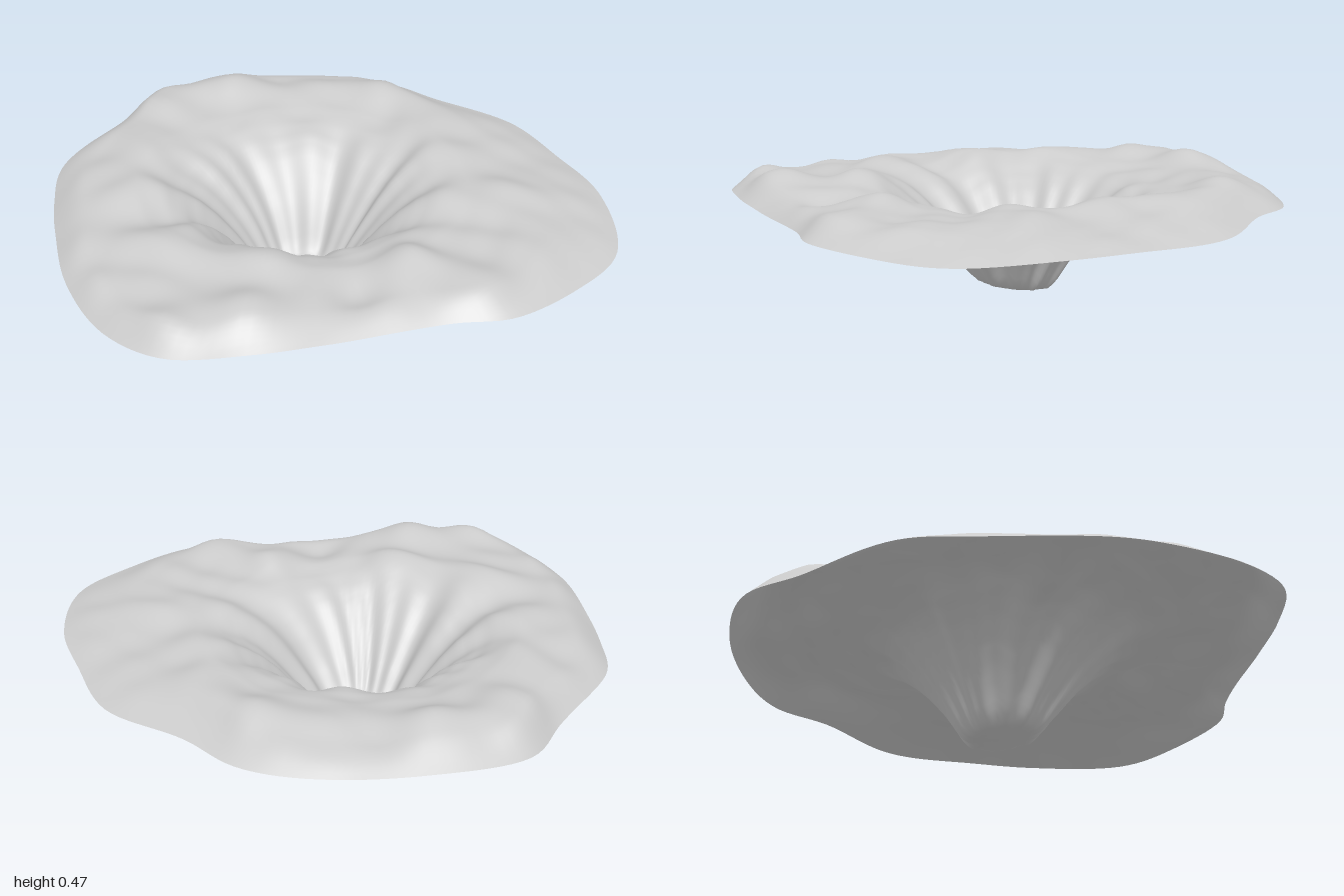
import * as THREE from 'three';

const PIT = new THREE.Vector2(-0.07, 0.01);
const SEGMENTS = 160, RINGS = 56;

// Irregular outer edge, as x, z
const OUTLINE = [
  [0.97, 0], [1, 0.3], [0.9, 0.68], [0.68, 0.86], [0.4, 0.98], [0.2, 0.95], [0, 0.94], [-0.25, 0.95],
  [-0.48, 0.95], [-0.75, 0.89], [-0.91, 0.7], [-0.99, 0.38], [-0.98, 0.05], [-0.95, -0.2], [-0.88, -0.45],
  [-0.6, -0.76], [-0.43, -0.95], [-0.05, -1], [0.28, -0.93], [0.53, -0.8], [0.67, -0.6], [0.9, -0.33],
];

// Funnel cross-section, as radius, height
const PROFILE = [
  [0, 0.012], [0.1, 0.015], [0.135, 0.025], [0.165, 0.06], [0.2, 0.115], [0.25, 0.185], [0.31, 0.26],
  [0.37, 0.32], [0.43, 0.362], [0.5, 0.39], [0.6, 0.408], [0.75, 0.408], [1.2, 0.4],
];

// Mounds and hollows on the ground, as x, z, width, height
const MOUNDS = [
  [-0.15, -0.8, 0.13, 0.065], [-0.42, -0.75, 0.15, 0.05], [-0.55, -0.45, 0.15, 0.04], [0.15, -0.68, 0.13, 0.03],
  [0.42, -0.6, 0.14, 0.045], [0.58, -0.4, 0.14, 0.04], [0.5, -0.1, 0.16, 0.035], [0.42, 0.22, 0.13, 0.03],
  [0.63, 0.32, 0.14, 0.035], [0.6, 0.65, 0.14, 0.025], [0.15, 0.62, 0.1, 0.045], [-0.08, 0.76, 0.09, -0.035],
  [-0.33, 0.5, 0.13, 0.06], [-0.45, 0.78, 0.12, 0.05], [-0.72, 0.75, 0.12, 0.03], [-0.6, 0.3, 0.17, 0.045],
  [-0.6, 0.12, 0.09, -0.03], [-0.68, -0.12, 0.17, 0.04], [0.3, 0.8, 0.12, 0.03], [0.8, 0, 0.14, -0.015],
];

const smooth = THREE.MathUtils.smoothstep;

function funnelHeight(r) {
  let i = 1;
  while (i < PROFILE.length - 1 && r > PROFILE[i][0]) i++;
  const [r0, h0] = PROFILE[i - 1], [r1, h1] = PROFILE[i];
  return THREE.MathUtils.lerp(h0, h1, Math.min(1, (r - r0) / (r1 - r0)));
}

// Soft layered ripples for the eroded ground
function ripples(x, z) {
  return 0.009 * Math.sin(11 * x + 3 * Math.sin(5 * z + 1)) * Math.cos(12 * z + 2 * Math.sin(6 * x))
    + 0.004 * Math.sin(23 * z + 2 * Math.sin(9 * x + 2)) * Math.cos(19 * x + 1.5);
}

// Uneven gullies running down the funnel wall
function gullies(angle, r) {
  const strength = smooth(r, 0.1, 0.2) * (1 - smooth(r, 0.35, 0.6));
  const a = angle + 0.5 * r;
  return strength * (0.012 * Math.sin(9 * a + 1.5 * Math.sin(2 * a)) + 0.008 * Math.sin(17 * a + 2 * Math.sin(3 * a)));
}

function groundHeight(x, z, r, angle, edgeDistance) {
  let bumps = ripples(x, z);
  for (const [mx, mz, width, height] of MOUNDS) {
    bumps += height * Math.exp(-((x - mx) ** 2 + (z - mz) ** 2) / (width * width));
  }
  let y = funnelHeight(r) + gullies(angle, r) + bumps * smooth(r, 0.28, 0.55);
  y += 0.12 * z * (1 - smooth(r, 0.12, 0.25));      // tilted floor
  const edgeY = 0.352 + 0.006 * Math.sin(7 * angle);
  // The right-hand ground slopes away slowly, the rest drops steeply
  const fall = 0.12 + 0.14 * smooth(x, 0.3, 0.8);
  return Math.max(0, THREE.MathUtils.lerp(edgeY, y, Math.sin(Math.PI / 2 * Math.min(1, edgeDistance / fall))));
}

function craterGeometry() {
  const edge = new THREE.CatmullRomCurve3(OUTLINE.map(([x, z]) => new THREE.Vector3(x, 0, z)), true)
    .getSpacedPoints(SEGMENTS);
  const positions = [PIT.x, 0.012, PIT.y], index = [];
  for (let ring = 1; ring <= RINGS; ring++) {
    const t = ring / RINGS;
    for (let s = 0; s < SEGMENTS; s++) {
      const dx = edge[s].x - PIT.x, dz = edge[s].z - PIT.y;
      const reach = Math.hypot(dx, dz), angle = Math.atan2(dz, dx);
      const r = t * reach;
      const x = PIT.x + dx * t, z = PIT.y + dz * t;
      positions.push(x, groundHeight(x, z, r, angle, reach - r), z);
      const next = (s + 1) % SEGMENTS;
      const a = 1 + (ring - 1) * SEGMENTS + s, b = 1 + (ring - 1) * SEGMENTS + next;
      if (ring === 1) index.push(0, b, a);
      else index.push(a - SEGMENTS, b, a, a - SEGMENTS, b - SEGMENTS, b);
    }
  }
  const geometry = new THREE.BufferGeometry();
  geometry.setAttribute('position', new THREE.Float32BufferAttribute(positions, 3));
  geometry.setIndex(index);
  geometry.computeVertexNormals();
  return geometry;
}

export function createModel() {
  const group = new THREE.Group();
  group.name = 'crater';
  // One thin open sheet: pit floor, funnel wall and lumpy rim
  const material = new THREE.MeshStandardMaterial({ color: 0xcccccc, side: THREE.DoubleSide });
  const ground = new THREE.Mesh(craterGeometry(), material);
  ground.name = 'craterGround';
  group.add(ground);
  return group;
}
